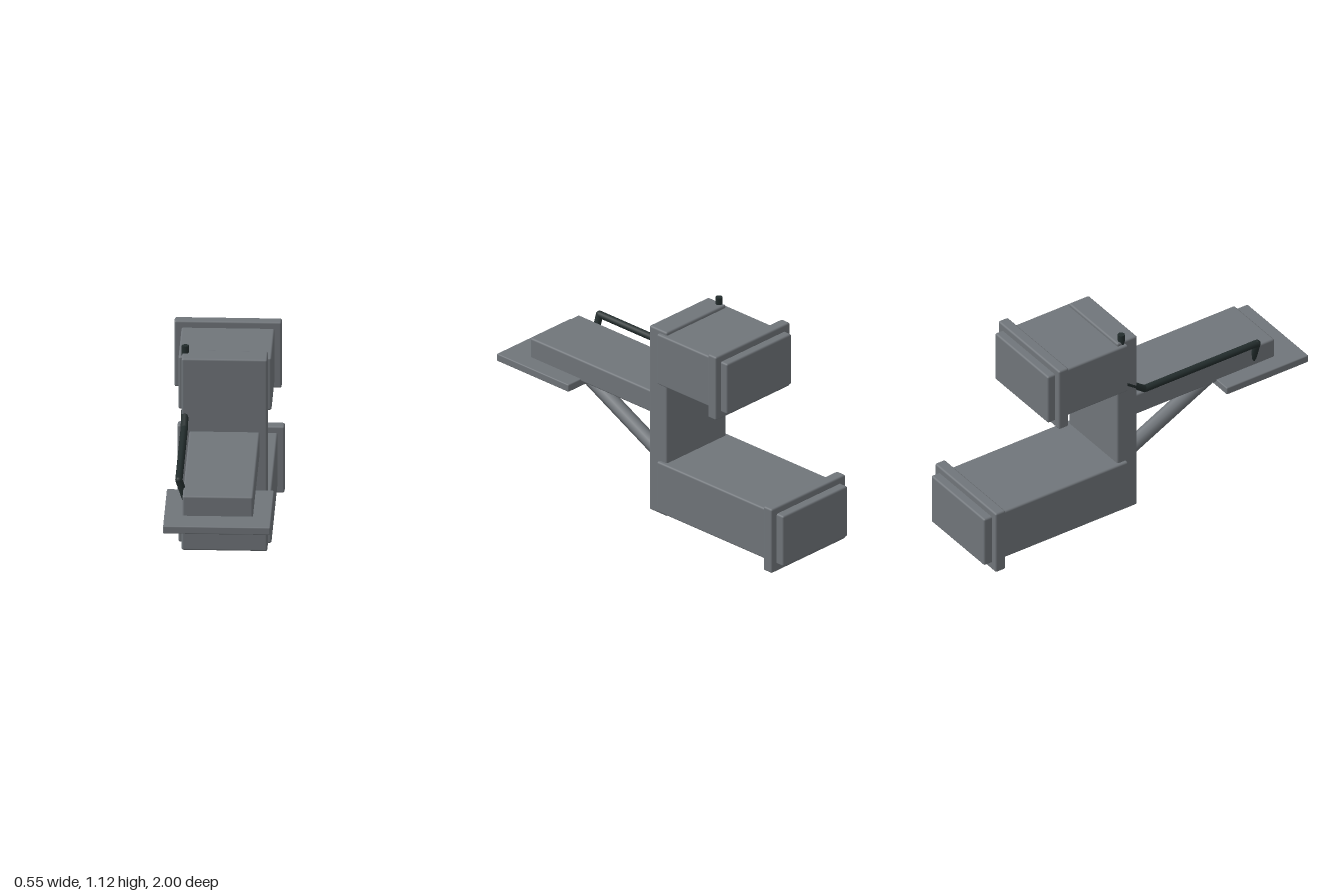
import * as THREE from 'three';
import { RoundedBoxGeometry } from 'three/addons/geometries/RoundedBoxGeometry.js';

const grey = new THREE.MeshStandardMaterial({ color: 0x70757a });
grey.name = 'grey metal';
const dark = new THREE.MeshStandardMaterial({ color: 0x232d2d });
dark.name = 'dark cable';

// softly bevelled box given by its ranges, symmetric in x
function block(name, halfX, y0, y1, z0, z1, bevel = 0.01) {
  const geo = new RoundedBoxGeometry(halfX * 2, y1 - y0, z1 - z0, 2, bevel);
  const mesh = new THREE.Mesh(geo, grey);
  mesh.position.set(0, (y0 + y1) / 2, (z0 + z1) / 2);
  mesh.name = name;
  return mesh;
}

// round bar between two points
function bar(name, a, b, radius, material) {
  const dir = b.clone().sub(a);
  const mesh = new THREE.Mesh(new THREE.CylinderGeometry(radius, radius, dir.length(), 8), material);
  mesh.position.copy(a).add(b).multiplyScalar(0.5);
  mesh.quaternion.setFromUnitVectors(new THREE.Vector3(0, 1, 0), dir.normalize());
  mesh.name = name;
  return mesh;
}

export function createModel() {
  const model = new THREE.Group();
  model.name = 'bracketStand';

  // upright column
  model.add(block('column', 0.22, 0.025, 1.085, -0.155, -0.03));

  // rear housings, each with a collar near its end
  model.add(block('upperHousing', 0.239, 0.778, 1.068, -0.602, -0.1));
  model.add(block('upperCollar', 0.275, 0.74, 1.105, -0.557, -0.497));
  model.add(block('lowerHousing', 0.239, 0.042, 0.332, -1, -0.1));
  model.add(block('lowerCollar', 0.275, 0, 0.368, -0.952, -0.89));

  // front arm, plate below it and diagonal strut
  model.add(block('arm', 0.181, 0.56, 0.684, -0.06, 0.853));
  model.add(block('frontPlate', 0.275, 0.534, 0.576, 0.49, 1, 0.006));
  model.add(bar('strut', new THREE.Vector3(0, 0.135, -0.08), new THREE.Vector3(0, 0.561, 0.762), 0.04, grey));

  // bent cable from the column top to the arm
  const cable = new THREE.Group();
  cable.name = 'cable';
  const points = [
    [-0.204, 1.123, -0.12],
    [-0.204, 0.825, -0.12],
    [-0.204, 0.722, 0.025],
    [-0.204, 0.722, 0.727],
    [-0.163, 0.6, 0.727],
  ].map((p) => new THREE.Vector3(...p));
  for (let i = 1; i < points.length; i++) {
    cable.add(bar('cableRun', points[i - 1], points[i], 0.019, dark));
    if (i < points.length - 1) {
      const joint = new THREE.Mesh(new THREE.SphereGeometry(0.019, 12, 8), dark);
      joint.position.copy(points[i]);
      joint.name = 'cableBend';
      cable.add(joint);
    }
  }
  model.add(cable);
  return model;
}
